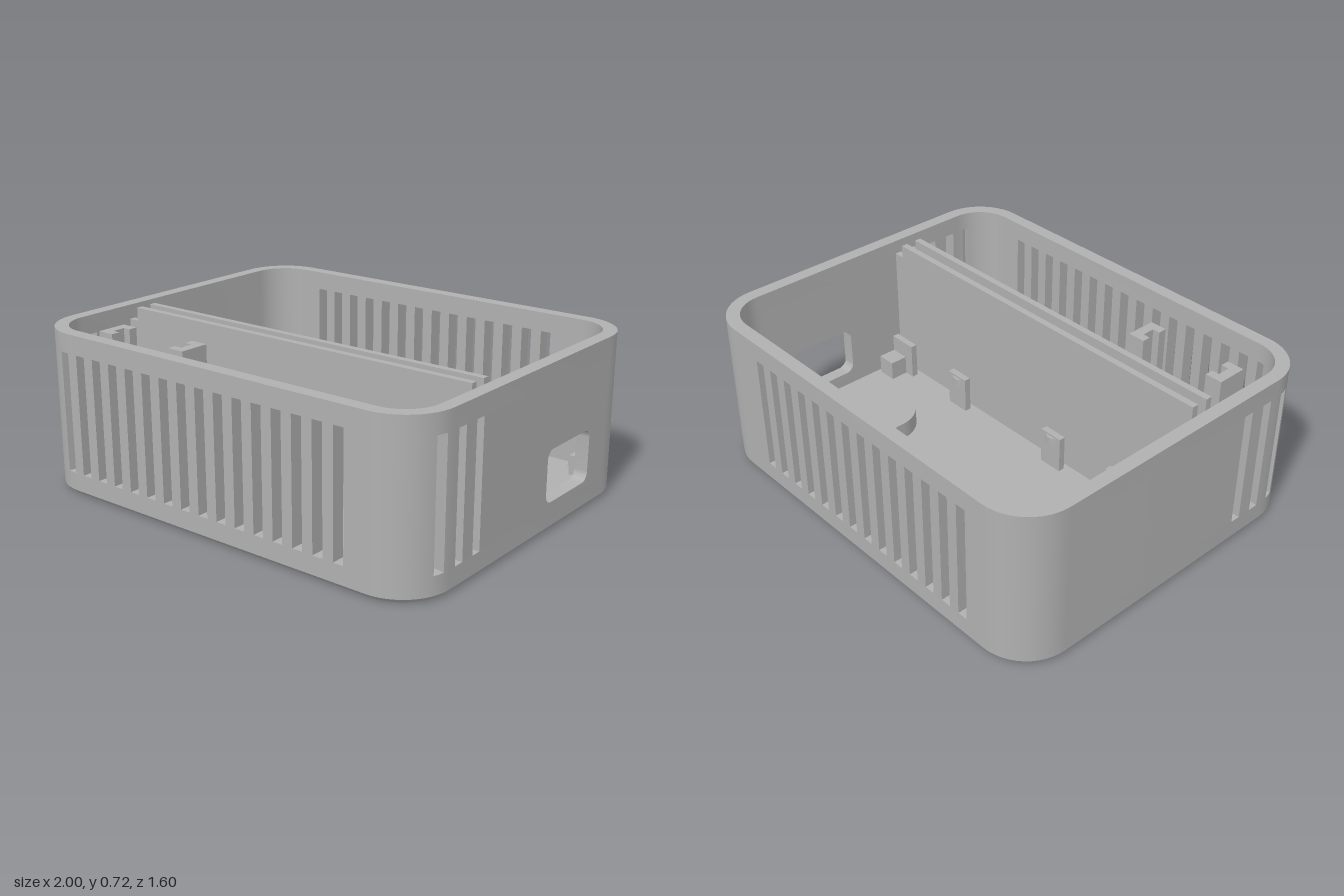
import * as THREE from 'three';
import { mergeGeometries, toCreasedNormals } from 'three/addons/utils/BufferGeometryUtils.js';

const R = 0.22, HX = 0.78, HZ = 0.58, WALL = 0.06, FLOOR = 0.06, TOP = 0.72;
const ARC = R * Math.PI / 2;
const TOTAL = 4 * (HX + HZ + ARC);
const SLOT_Y0 = 0.1, SLOT_Y1 = 0.635, SLOT_W = 0.048;

// Point on the rounded-rectangle perimeter, at length s from the front centre, inset by d
function rim(s, d) {
  let t = (((s + HX) % TOTAL) + TOTAL) % TOTAL;
  const corners = [[HX, HZ], [HX, -HZ], [-HX, -HZ], [-HX, HZ]];
  for (let i = 0; i < 4; i++) {
    const len = i % 2 ? 2 * HZ : 2 * HX;
    const a = Math.PI / 2 - i * Math.PI / 2; // outward direction of this side
    const [cx, cz] = corners[i];
    const r = R - d;
    if (t <= len) {
      const back = len - t;
      return [cx + Math.cos(a) * r - Math.sin(a) * back, cz + Math.sin(a) * r + Math.cos(a) * back];
    }
    t -= len;
    if (t <= ARC || i === 3) {
      const b = a - t / R;
      return [cx + Math.cos(b) * r, cz + Math.sin(b) * r];
    }
    t -= ARC;
  }
}

// Perimeter samples between two lengths, dense only in the corners
function samples(s0, s1) {
  const list = [s0];
  let start = -HX - TOTAL;
  for (let k = 0; k < 12; k++) {
    start += k % 2 ? 2 * HZ : 2 * HX;
    for (let j = 0; j <= 12; j++) {
      const s = start + ARC * j / 12;
      if (s > s0 + 1e-4 && s < s1 - 1e-4) list.push(s);
    }
    start += ARC;
  }
  return [...list, s1];
}

// Upright prism from a plan shape whose y stands for -z
function prism(shape, y0, y1) {
  const g = new THREE.ExtrudeGeometry(shape, { depth: y1 - y0, bevelEnabled: false, curveSegments: 24 });
  return g.rotateX(-Math.PI / 2).translate(0, y0, 0);
}
const planShape = (pts) => new THREE.Shape(pts.map(([x, z]) => new THREE.Vector2(x, -z)));
const box = (x0, x1, y0, y1, z0, z1) =>
  new THREE.BoxGeometry(x1 - x0, y1 - y0, z1 - z0).toNonIndexed().translate((x0 + x1) / 2, (y0 + y1) / 2, (z0 + z1) / 2);

function wallPiece(s0, s1, y0, y1) {
  const list = samples(s0, s1);
  const outer = list.map((s) => rim(s, 0));
  const inner = list.map((s) => rim(s, WALL)).reverse();
  return prism(planShape([...outer, ...inner]), y0, y1);
}

// Capsule outline running along z
function capsule(path, x, z0, z1, r) {
  path.absarc(x, -z0, r, 0, Math.PI);
  path.absarc(x, -z1, r, Math.PI, 2 * Math.PI);
  path.closePath();
  return path;
}

function roundedRect(x0, x1, y0, y1, r) {
  const p = new THREE.Path();
  p.absarc(x1 - r, y1 - r, r, 0, Math.PI / 2);
  p.absarc(x0 + r, y1 - r, r, Math.PI / 2, Math.PI);
  p.absarc(x0 + r, y0 + r, r, Math.PI, 1.5 * Math.PI);
  p.absarc(x1 - r, y0 + r, r, 1.5 * Math.PI, 2 * Math.PI);
  p.closePath();
  return p;
}

// Sloped edge between the underside and the walls
function chamfer() {
  const list = samples(-HX, TOTAL - HX), pos = [];
  for (let i = 0; i < list.length - 1; i++) {
    const [a, b] = [list[i], list[i + 1]].map((s) => { const [x, z] = rim(s, 0.02); return [x, 0, z]; });
    const [c, d] = [list[i], list[i + 1]].map((s) => { const [x, z] = rim(s, 0); return [x, 0.02, z]; });
    pos.push(...a, ...b, ...d, ...a, ...d, ...c);
  }
  const g = new THREE.BufferGeometry();
  g.setAttribute('position', new THREE.Float32BufferAttribute(pos, 3));
  g.computeVertexNormals();
  return g;
}

export function createModel() {
  const group = new THREE.Group();
  const plastic = new THREE.MeshStandardMaterial({ color: 0xb0b0b0 });
  plastic.name = 'grey plastic';
  const add = (name, geos) => {
    geos.forEach((g) => g.deleteAttribute('uv'));
    const mesh = new THREE.Mesh(toCreasedNormals(mergeGeometries(geos), 0.5), plastic);
    mesh.name = name;
    group.add(mesh);
  };

  // Walls: solid bands below and above, posts between the vent slots
  const rightS = (z) => HX + ARC + HZ - z;
  const backS = (x) => HX + 2 * ARC + 2 * HZ + HX - x;
  const leftS = (z) => 3 * HX + 3 * ARC + 2 * HZ + HZ + z;
  const sideZ = [0.64, 0.525, 0.41];
  const slots = [
    ...Array.from({ length: 16 }, (_, i) => -0.805 + i * 0.0975),
    ...sideZ.map(rightS),
    ...Array.from({ length: 14 }, (_, i) => backS(0.603 - i * 0.0975)),
    ...sideZ.map(leftS).reverse(),
  ];
  const walls = [wallPiece(-HX, TOTAL - HX, 0.02, SLOT_Y0), wallPiece(-HX, TOTAL - HX, SLOT_Y1, TOP)];
  const panelEnd = -0.55;
  slots.forEach((s, i) => {
    const next = i + 1 < slots.length ? slots[i + 1] : slots[0] + TOTAL;
    const from = i === 18 ? rightS(panelEnd) : s + SLOT_W / 2;
    walls.push(wallPiece(from, next - SLOT_W / 2, SLOT_Y0, SLOT_Y1));
  });
  add('walls', walls);
  add('bottomChamfer', [chamfer()]);

  // Side panel with the rounded connector opening
  const z0 = 0.41 - SLOT_W / 2;
  const panel = new THREE.Shape([[-z0, SLOT_Y0], [-panelEnd, SLOT_Y0], [-panelEnd, SLOT_Y1], [-z0, SLOT_Y1]]
    .map(([x, y]) => new THREE.Vector2(x, y)));
  panel.holes.push(roundedRect(0.1, 0.44, 0.125, 0.355, 0.04));
  add('connectorPanel', [new THREE.ExtrudeGeometry(panel, { depth: WALL, bevelEnabled: false })
    .rotateY(Math.PI / 2).translate(1 - WALL, 0, 0)]);

  // Floor with screw holes and hanging keyholes
  const floor = planShape(samples(-HX, TOTAL - HX - 1e-3).map((s) => rim(s, 0.02)));
  const screws = [[0.81, 0.61], [-0.81, -0.61]];
  for (const [x, z] of screws) floor.holes.push(new THREE.Path().absarc(x, -z, 0.095, 0, 2 * Math.PI));
  const a = Math.asin(0.055 / 0.115);
  for (const x of [-0.57, 0.57]) {
    const key = new THREE.Path();
    key.absarc(x, 0.385, 0.055, 0, Math.PI);
    key.absarc(x, 0.215, 0.115, Math.PI / 2 + a, 2.5 * Math.PI - a);
    key.closePath();
    floor.holes.push(key);
    // Raised pocket over the keyhole
    const ring = capsule(new THREE.Shape(), x, -0.385, -0.215, 0.155);
    const lid = ring.clone();
    ring.holes.push(capsule(new THREE.Path(), x, -0.385, -0.215, 0.115));
    add('keyholePocket', [prism(ring, FLOOR, 0.11), prism(lid, 0.11, 0.14)]);
  }
  add('floor', [prism(floor, 0, FLOOR)]);
  for (const [x, z] of screws) {
    const profile = [[0.095, FLOOR], [0.05, FLOOR], [0.05, 0.04], [0.095, 0]].map(([r, y]) => new THREE.Vector2(r, y));
    add('countersunkScrewHole', [new THREE.LatheGeometry(profile, 48).toNonIndexed().translate(x, 0, z)]);
  }

  // Divider: two thin plates with a groove between, lowered ends and a cable opening
  const plate = new THREE.Shape([[-0.94, FLOOR], [-0.66, FLOOR], [-0.66, 0.165], [-0.51, 0.165], [-0.51, FLOOR],
    [0.94, FLOOR], [0.94, 0.655], [0.89, 0.655], [0.89, 0.715], [-0.89, 0.715], [-0.89, 0.655], [-0.94, 0.655]]
    .map(([x, y]) => new THREE.Vector2(x, y)));
  for (const z of [0.192, 0.272]) {
    add('dividerPlate', [new THREE.ExtrudeGeometry(plate, { depth: 0.03, bevelEnabled: false }).translate(0, 0, z)]);
  }

  // Two grooved posts facing each other, for an upright board
  for (const [x, k] of [[-0.82, 1], [-0.32, -1]]) {
    const pts = [[0, 0.45], [0.08, 0.45], [0.08, 0.49], [0.045, 0.49], [0.045, 0.55], [0.08, 0.55], [0.08, 0.59], [0, 0.59]];
    add('groovedPost', [prism(planShape(pts.map(([u, z]) => [x + k * u, z])), FLOOR, 0.68)]);
  }

  // Board mounts, mirrored front to back about z = -0.275
  for (const k of [1, -1]) {
    const block = (x0, x1, u0, u1, h) => {
      const za = -0.275 + k * u0, zb = -0.275 + k * u1;
      return box(x0, x1, FLOOR, h, Math.min(za, zb), Math.max(za, zb));
    };
    add('leftCornerMount', [block(0.78, 0.92, 0.41, 0.44, 0.23), block(0.83, 0.92, 0.325, 0.41, 0.15)]);
    add('rightCornerMount', [block(-0.65, -0.51, 0.41, 0.44, 0.23), block(-0.65, -0.57, 0.325, 0.41, 0.15),
      block(-0.68, -0.65, 0.275, 0.415, 0.23)]);
    for (const x of [-0.18, 0.445]) {
      const nub = [[-0.03, 0.41], [-0.012, 0.398], [0.012, 0.398], [0.03, 0.41]].map(([u, v]) => [x + u, -0.275 + k * v]);
      add('snapClip', [block(x - 0.057, x + 0.057, 0.41, 0.44, 0.23), prism(planShape(nub), 0.18, 0.22)]);
    }
  }
  return group;
}
